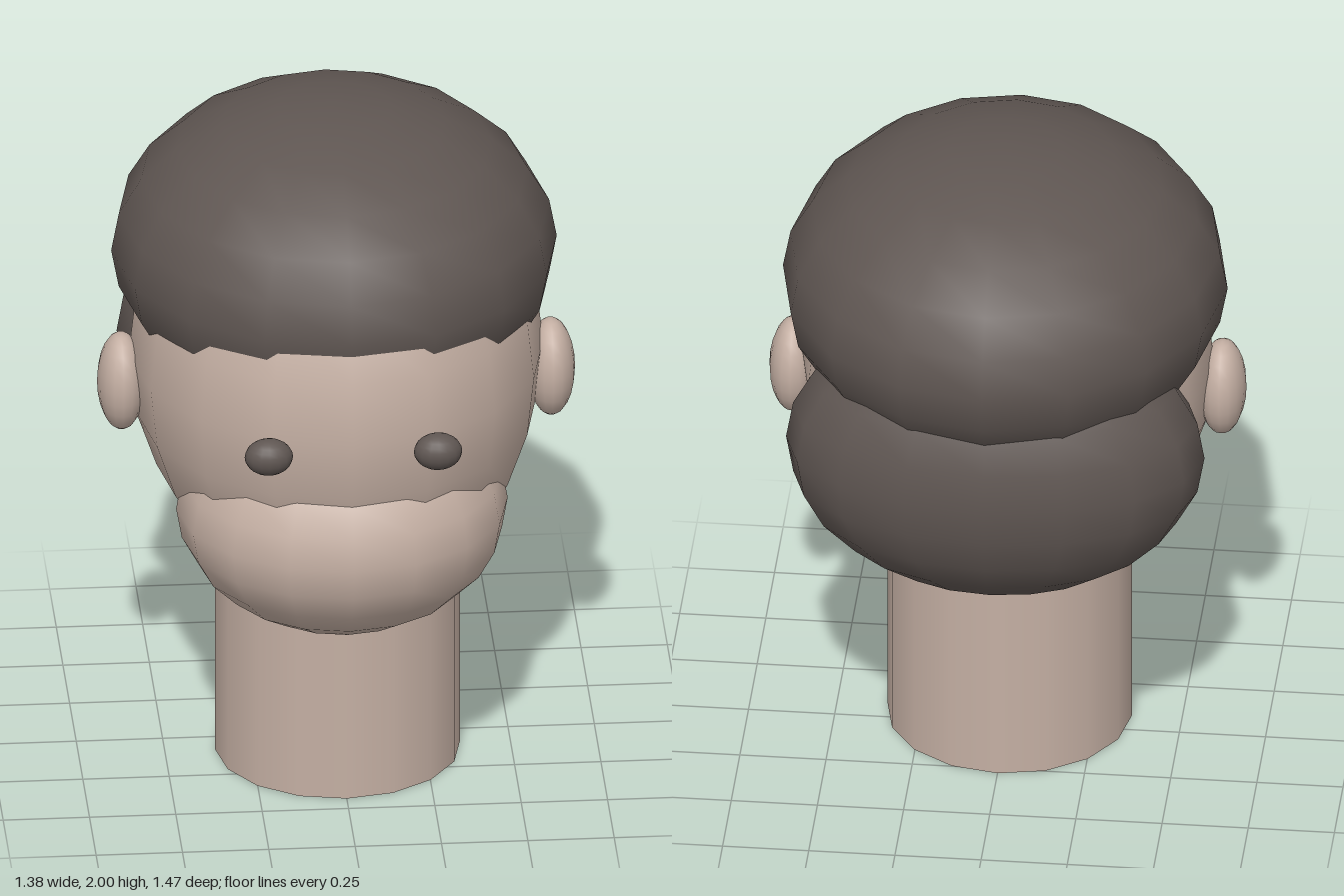
import * as THREE from 'three';

export function createModel() {
  const model = new THREE.Group();
  model.name = 'headBust';

  const material = (name, color) => {
    const m = new THREE.MeshStandardMaterial({ color });
    m.name = name;
    return m;
  };
  const skin = material('skin', 0xc4afa3);
  const dark = material('darkHair', 0x5f5652);

  const add = (name, geometry, mat, position) => {
    const mesh = new THREE.Mesh(geometry, mat);
    mesh.name = name;
    mesh.position.set(...position);
    model.add(mesh);
    return mesh;
  };

  // Every rounded part is a stretched low-poly sphere with smooth normals
  const ellipsoid = (name, mat, position, radii) =>
    add(name, new THREE.SphereGeometry(1, 16, 12).scale(...radii), mat, position);

  // Neck
  add('neck', new THREE.CylinderGeometry(0.355, 0.355, 0.85, 16), skin, [0, 0.425, 0.08]);

  // Skull and the rounded jaw in front of it
  ellipsoid('head', skin, [0, 1.25, 0.02], [0.6, 0.715, 0.66]);
  ellipsoid('jaw', skin, [0, 0.86, 0.25], [0.48, 0.36, 0.46]);

  // Hair: a cap on top and a lower mass at the back
  ellipsoid('hairCap', dark, [0, 1.55, -0.05], [0.645, 0.45, 0.685]);
  ellipsoid('backHair', dark, [0, 1.15, -0.34], [0.607, 0.45, 0.365]);

  // Mirrored ears and eyes
  for (const [side, s] of [['left', 1], ['right', -1]]) {
    ellipsoid(side + 'Ear', skin, [s * 0.622, 1.17, 0.028], [0.07, 0.15, 0.105]);
    ellipsoid(side + 'Eye', dark, [s * 0.245, 1.23, 0.685], [0.07, 0.055, 0.052]);
  }

  return model;
}
